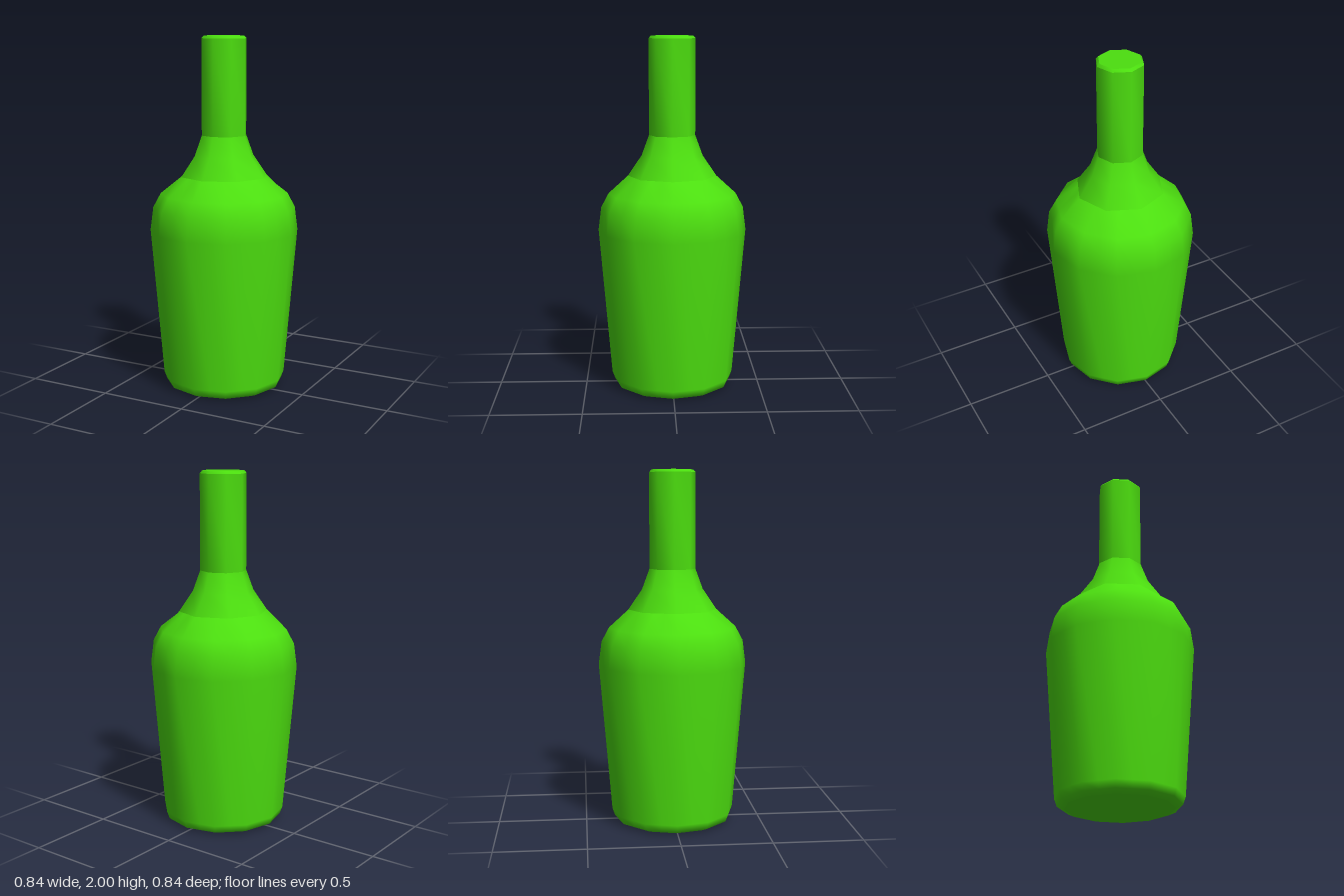
import * as THREE from 'three';
import { mergeVertices } from 'three/addons/utils/BufferGeometryUtils.js';

const green = new THREE.MeshStandardMaterial({ color: 0x4cde0f });
green.name = 'greenGlass';

// radius factor of a regular polygon at a given angle (1 at its corners)
function polygonFactor(angle, sides) {
  const step = (Math.PI * 2) / sides;
  const a = ((angle % step) + step) % step;
  return Math.cos(step / 2) / Math.cos(a - step / 2);
}

// turned part with smooth normals, closed at the seam
function turned(profile, segments, reshape) {
  let g = new THREE.LatheGeometry(profile.map(([r, y]) => new THREE.Vector2(r, y)), segments);
  if (reshape) {
    const p = g.attributes.position;
    for (let i = 0; i < p.count; i++) {
      const k = reshape(Math.atan2(p.getX(i), p.getZ(i)), p.getY(i));
      p.setX(i, p.getX(i) * k);
      p.setZ(i, p.getZ(i) * k);
    }
  }
  g.deleteAttribute('normal');
  g.deleteAttribute('uv');
  g = mergeVertices(g, 1e-5);
  g.computeVertexNormals();
  return g;
}

export function createModel() {
  const bottle = new THREE.Group();
  bottle.name = 'bottle';
  const add = (name, geometry) => {
    const mesh = new THREE.Mesh(geometry, green);
    mesh.name = name;
    bottle.add(mesh);
    return mesh;
  };

  // twelve-sided body whose top ring becomes an octagon to meet the shoulder
  add('body', turned(
    [[0.295, 0], [0.335, 0.018], [0.35, 0.06], [0.42, 0.91], [0.403, 1.04], [0.36, 1.12], [0.25, 1.22]],
    24,
    (angle, y) => polygonFactor(angle + 1e-7, y > 1.2 ? 8 : 12),
  ));

  // flat base
  const base = add('base', new THREE.CircleGeometry(0.295, 12));
  base.rotation.x = Math.PI / 2;

  // eight-sided shoulder and neck
  add('shoulder', turned([[0.25, 1.22], [0.172, 1.335], [0.13, 1.45]], 8));
  add('neck', turned([[0.13, 1.45], [0.13, 1.985]], 8));
  add('rim', turned([[0.13, 1.985], [0.117, 2]], 8));

  // closed mouth
  const mouth = add('mouth', new THREE.CircleGeometry(0.117, 8));
  mouth.rotation.x = -Math.PI / 2;
  mouth.position.y = 2;

  bottle.rotation.y = -0.013;
  return bottle;
}
